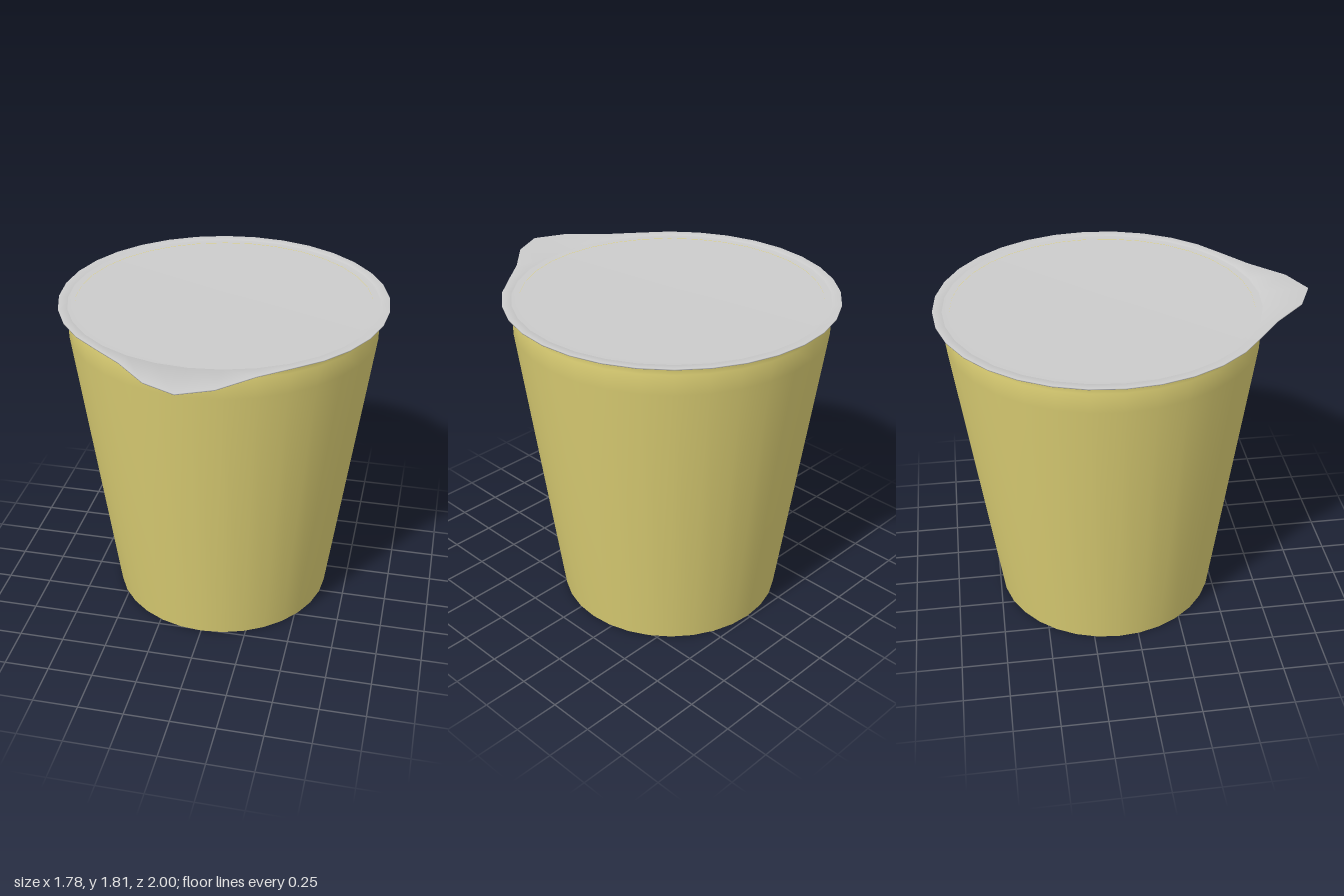
import * as THREE from 'three';

const SEGMENTS = 32;
const lathe = (profile) =>
  new THREE.LatheGeometry(profile.map(([r, y]) => new THREE.Vector2(r, y)), SEGMENTS);

export function createModel() {
  const model = new THREE.Group();
  model.name = 'sealedCup';

  // Cup: recessed base, tapered wall, straight collar, groove and rolled lip
  const cup = new THREE.Mesh(
    lathe([
      [0, 0.025], [0.595, 0.025], [0.6, 0], [0.622, 0],
      [0.838, 1.64], [0.84, 1.75], [0.825, 1.772], [0.845, 1.787],
      [0.84, 1.796], [0.8, 1.796],
    ]),
    new THREE.MeshStandardMaterial({ color: 0xdccf74, side: THREE.DoubleSide })
  );
  cup.name = 'cup';

  // Foil lid: thin disc with a slightly sunken middle, profile runs from below to above
  const lidGeometry = lathe([
    [0.8, 1.798], [0.888, 1.8], [0.888, 1.806], [0.84, 1.804],
    [0.837, 1.792], [0, 1.792],
  ]);

  // Pull the front of the lid edge out into a pointed tab
  const pos = lidGeometry.attributes.position;
  const tabReach = [1.11, 1.03, 0.86]; // z of the tip and its next two corners
  const step = (Math.PI * 2) / SEGMENTS;
  for (let i = 0; i < pos.count; i++) {
    const x = pos.getX(i), z = pos.getZ(i);
    if (Math.hypot(x, z) < 0.88) continue;
    const corner = Math.round(Math.abs(Math.atan2(x, z)) / step);
    if (corner < tabReach.length) pos.setZ(i, tabReach[corner]);
  }
  const lid = new THREE.Mesh(
    lidGeometry,
    new THREE.MeshStandardMaterial({ color: 0xcccccc, side: THREE.DoubleSide })
  );
  lid.name = 'foilLid';

  // The tab points forward, so the round body sits a little behind the centre
  for (const part of [cup, lid]) {
    part.position.z = -0.112;
    model.add(part);
  }
  return model;
}
